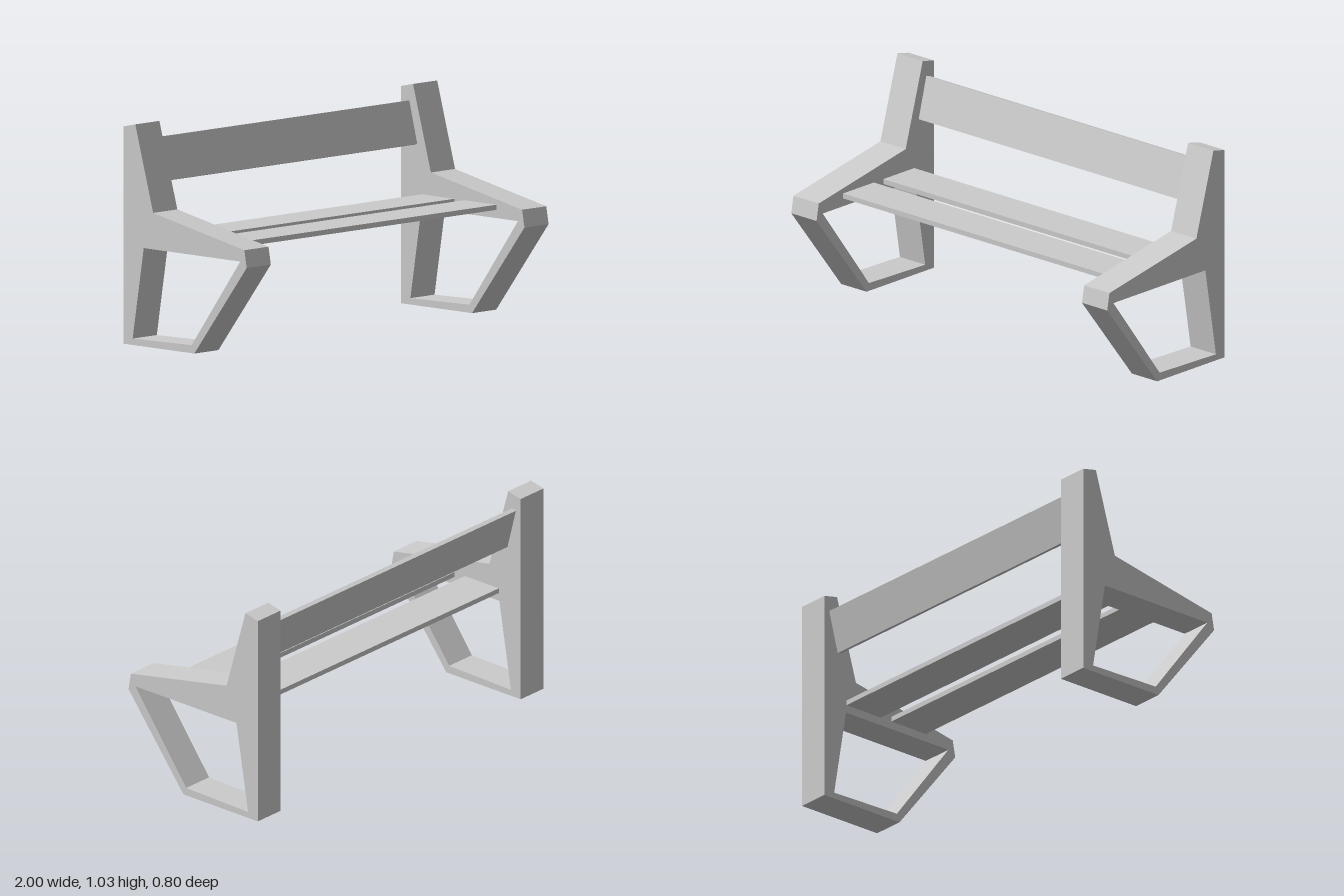
import * as THREE from 'three';

const material = new THREE.MeshStandardMaterial({ color: 0xcccccc, flatShading: true });

const toPoints = (list) => list.map(([z, y]) => new THREE.Vector2(z, y));

// Side frame: one (z, y) outline with a leg opening, extruded across x
function frameGeometry(width) {
  const shape = new THREE.Shape(toPoints([
    [-0.4, 0], [0.06, 0], [0.4, 0.435], [0.385, 0.517],
    [-0.207, 0.632], [-0.323, 1.035], [-0.4, 1.018],
  ]));
  shape.holes.push(new THREE.Path(toPoints([
    [0.043, 0.038], [-0.34, 0.03], [-0.268, 0.461], [0.358, 0.461],
  ])));
  return new THREE.ExtrudeGeometry(shape, { depth: width, bevelEnabled: false })
    .translate(0, 0, -width / 2)
    .rotateY(-Math.PI / 2);
}

export function createModel() {
  const group = new THREE.Group();
  group.name = 'bench';

  const add = (name, geometry, x, y, z) => {
    const mesh = new THREE.Mesh(geometry, material);
    mesh.name = name;
    mesh.position.set(x, y, z);
    group.add(mesh);
    return mesh;
  };

  // End frames
  const frame = frameGeometry(0.16);
  add('leftFrame', frame, 0.92, 0, 0);
  add('rightFrame', frame, -0.92, 0, 0);

  // Seat slats
  const seat = new THREE.BoxGeometry(1.68, 0.024, 0.21);
  add('frontSeatSlat', seat, 0, 0.512, 0.115);
  add('rearSeatSlat', seat, 0, 0.512, -0.16);

  // Reclined backrest slat
  const back = add('backrestSlat', new THREE.BoxGeometry(1.68, 0.206, 0.024), 0, 0.853, -0.333);
  back.rotation.x = -0.255;

  return group;
}
